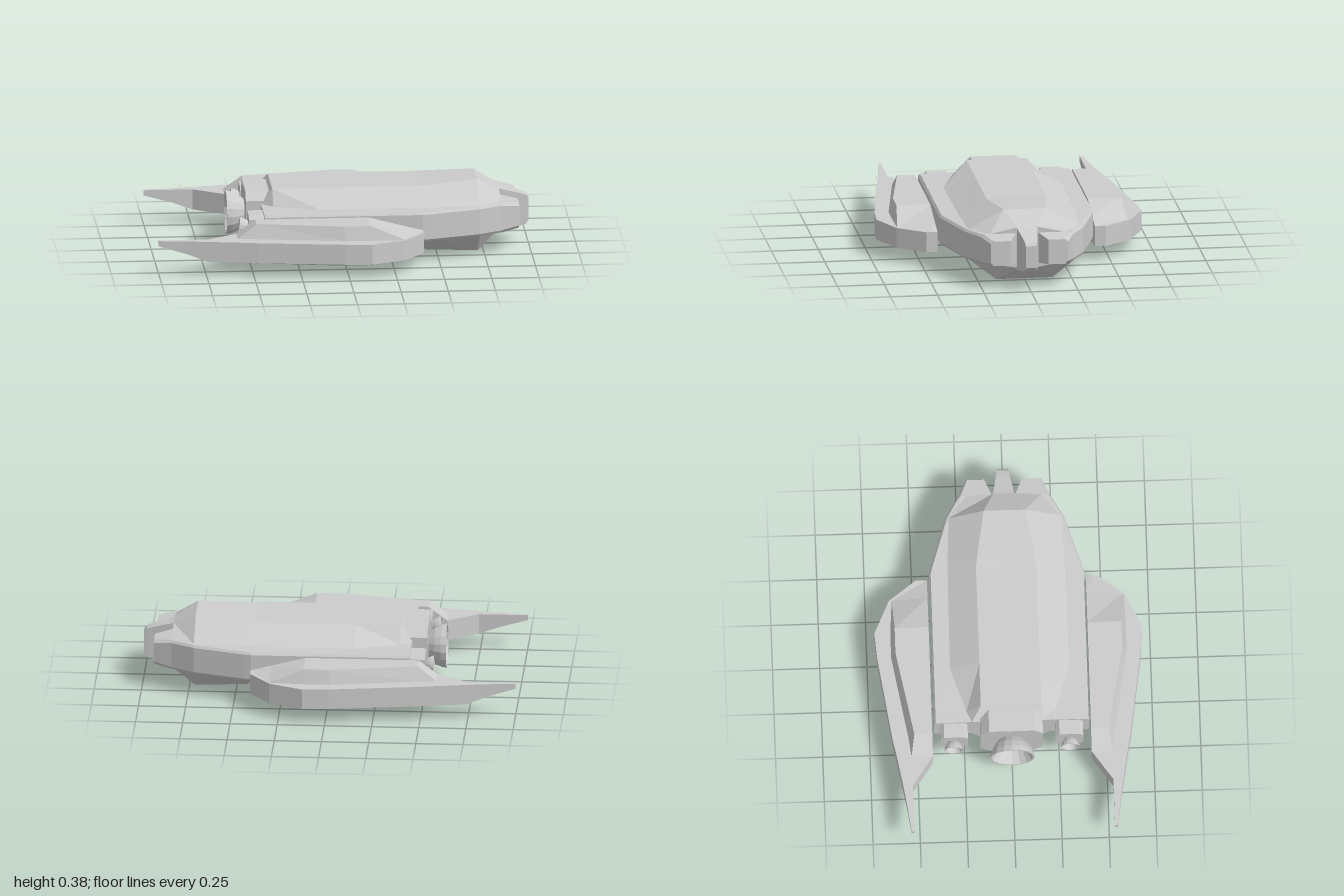
import * as THREE from 'three';

const grey = new THREE.MeshStandardMaterial({ color: 0xcccccc, side: THREE.DoubleSide });
grey.name = 'hullGrey';

// Flat-faced skin through equal loops [x, y, z], ordered along +x, counter-clockwise seen from +x
function loft(loops) {
  const pos = [];
  const a = new THREE.Vector3(), b = new THREE.Vector3(), c = new THREE.Vector3();
  const tri = (p, q, r) => {
    a.set(...p); b.set(...q).sub(a); c.set(...r).sub(a);
    if (b.cross(c).length() > 1e-7) pos.push(...p, ...q, ...r);
  };
  const n = loops[0].length;
  for (let k = 0; k + 1 < loops.length; k++) {
    const A = loops[k], B = loops[k + 1];
    for (let i = 0; i < n; i++) {
      const j = (i + 1) % n;
      tri(A[i], A[j], B[j]);
      tri(A[i], B[j], B[i]);
    }
  }
  // end caps
  [loops[0], loops[loops.length - 1]].forEach((loop, end) => {
    const flat = loop.map(p => new THREE.Vector2(-p[2], p[1]));
    for (const [i, j, k] of THREE.ShapeUtils.triangulateShape(flat, [])) {
      if (end) tri(loop[i], loop[j], loop[k]);
      else tri(loop[k], loop[j], loop[i]);
    }
  });
  const g = new THREE.BufferGeometry();
  g.setAttribute('position', new THREE.Float32BufferAttribute(pos, 3));
  g.computeVertexNormals();
  return g;
}

// Mirror loops to the other side, keeping the winding
const flip = loops => loops.map(l => l.map(([x, y, z]) => [x, y, -z]).reverse());

// Symmetric loop from the half with z > 0, listed top to bottom
const full = (x, half) => {
  const left = half.map(([z, y]) => [x, y, z]);
  return [...left, ...left.map(([, y, z]) => [x, y, -z]).reverse()];
};

// Block with chamfered edges running along x
function chamferBlock(x0, x1, y, z, hy, hz, c) {
  const half = [[hz - c, hy], [hz, hy - c], [hz, c - hy], [hz - c, -hy]];
  return loft([x0, x1].map(x => full(x, half))).translate(0, y, z);
}

// Engine bell opening toward -x
function bell(r, len) {
  const profile = [[0, 0.1], [0.6, 0], [0.82, 0.35], [0.95, 0.7], [1, 1], [0.93, 1], [0.55, 0.15], [0, 0.15]];
  const g = new THREE.LatheGeometry(profile.map(([a, b]) => new THREE.Vector2(a * r, b * len)), 16).toNonIndexed();
  g.computeVertexNormals();
  return g.rotateZ(Math.PI / 2);
}

export function createModel() {
  const model = new THREE.Group();
  const add = (name, geometry) => {
    const mesh = new THREE.Mesh(geometry, grey);
    mesh.name = name;
    model.add(mesh);
    return mesh;
  };

  // Hull: x, roof z, roof y, shoulder z, outer z, belly z, belly y
  const hull = [
    [-0.43, 0.16, 0.278, 0.21, 0.41, 0.16, 0.05],
    [-0.37, 0.16, 0.36, 0.235, 0.41, 0.16, 0.03],
    [-0.13, 0.16, 0.36, 0.315, 0.41, 0.16, 0.03],
    [0.41, 0.16, 0.36, 0.31, 0.41, 0.155, 0.028],
    [0.45, 0.155, 0.363, 0.31, 0.4, 0.15, 0.01],
    [0.72, 0.11, 0.38, 0.295, 0.315, 0.15, 0],
    [0.84, 0.055, 0.312, 0.2, 0.245, 0.045, 0.09],
  ].map(([x, zr, yr, zs, zo, zb, yb]) => full(x, [
    [zr, yr], [zs, 0.28], [zo - 0.01, 0.278], [zo, 0.265],
    [zo, 0.13], [zo - 0.01, 0.117], [zs, 0.115], [zb, yb],
  ]));
  add('hull', loft(hull));

  // Middle nose prong: x, half width, top, bottom
  add('noseProng', loft([
    [0.8, 0.06, 0.325, 0.07], [0.86, 0.053, 0.305, 0.085], [0.95, 0.037, 0.28, 0.1],
    [0.985, 0.032, 0.267, 0.108], [1, 0.029, 0.25, 0.13],
  ].map(([x, w, t, b]) => full(x, [[w, t], [w, b]]))));

  // Side nose prongs: x, inner z, outer z, top, bottom
  const prong = [
    [0.8, 0.03, 0.255, 0.28, 0.115], [0.84, 0.05, 0.245, 0.28, 0.115], [0.937, 0.09, 0.205, 0.265, 0.13],
  ].map(([x, zi, zo, t, b]) => [
    [x, t, zi + 0.01], [x, t, zo - 0.015], [x, t - 0.015, zo],
    [x, b + 0.015, zo], [x, b, zo - 0.015], [x, b, zi + 0.01],
  ]);
  add('leftNoseProng', loft(flip(flip(prong))));
  add('rightNoseProng', loft(flip(prong)));

  // Wing: x, inner z, raised top z, raised base z, outer z, inner rise, outer rise, plate bottom
  const wing = [
    [-1, 0.53, 0.535, 0.538, 0.546, 0, 0, 0.157],
    [-0.85, 0.53, 0.54, 0.545, 0.565, 0, 0, 0.115],
    [-0.74, 0.53, 0.54, 0.55, 0.582, 0, 0, 0.076],
    [-0.58, 0.42, 0.528, 0.533, 0.61, 0, 0, 0.076],
    [-0.48, 0.42, 0.515, 0.545, 0.63, 0.075, 0.075, 0.076],
    [-0.02, 0.42, 0.6, 0.623, 0.697, 0.075, 0.075, 0.076],
    [0.12, 0.42, 0.6, 0.623, 0.707, 0.075, 0.075, 0.076],
    [0.3, 0.42, 0.61, 0.62, 0.625, 0.028, 0, 0.076],
    [0.41, 0.42, 0.46, 0.47, 0.48, 0, 0, 0.076],
  ].map(([x, zi, zt, zb, zo, hi, ho, yb]) => [
    [x, 0.185 + hi, zi], [x, 0.185 + ho, zt], [x, 0.185, zb], [x, 0.185, zo],
    [x, yb, zo], [x, yb, zb], [x, yb - ho * 0.4, zt], [x, yb - hi * 0.4, zi],
  ]);
  add('leftWing', loft(flip(flip(wing))));
  add('rightWing', loft(flip(wing)));

  // Engines
  add('mainEngineHousing', chamferBlock(-0.51, -0.36, 0.195, 0, 0.145, 0.165, 0.045));
  add('mainEngineBell', bell(0.118, 0.097)).position.set(-0.508, 0.195, 0);
  for (const [side, s] of [['left', 1], ['right', -1]]) {
    add(side + 'EngineHousing', chamferBlock(-0.51, -0.42, 0.195, s * 0.305, 0.073, 0.073, 0.02));
    add(side + 'EngineBell', bell(0.05, 0.047)).position.set(-0.508, 0.195, s * 0.308);
  }

  return model;
}
